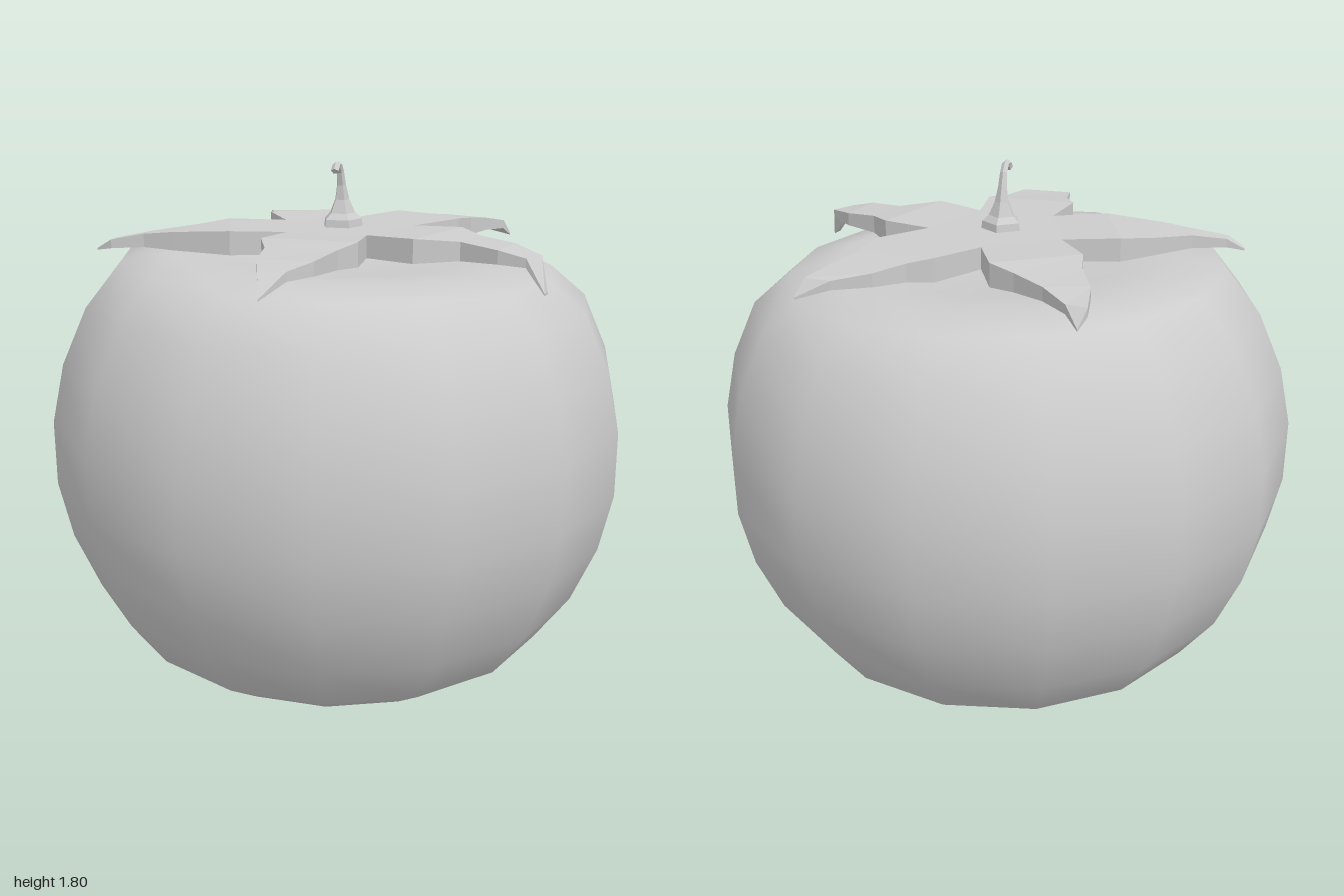
import * as THREE from 'three';
import { mergeVertices } from 'three/addons/utils/BufferGeometryUtils.js';

const grey = new THREE.MeshStandardMaterial({ color: 0xcccccc });
grey.name = 'grey';
const flatGrey = grey.clone();
flatGrey.flatShading = true;
flatGrey.side = THREE.DoubleSide;

function addMesh(parent, geometry, material, name) {
  const mesh = new THREE.Mesh(geometry, material);
  mesh.name = name;
  parent.add(mesh);
}

// Skin consecutive rings of equal point count, closing the last end with a fan.
function loft(rings) {
  const n = rings[0].length, index = [];
  for (let i = 0; i < rings.length - 1; i++) {
    for (let j = 0; j < n; j++) {
      const a = i * n + j, b = i * n + (j + 1) % n;
      index.push(a, a + n, b, b, a + n, b + n);
    }
  }
  const last = (rings.length - 1) * n;
  for (let j = 1; j < n - 1; j++) index.push(last, last + j + 1, last + j);
  const g = new THREE.BufferGeometry();
  g.setAttribute('position', new THREE.Float32BufferAttribute(rings.flat(2), 3));
  g.setIndex(index);
  g.computeVertexNormals();
  return g;
}

// Squashed fifteen-sided fruit, dimpled on top and sagging a little toward +x.
function bodyGeometry() {
  const heights = [0.03, 0.015, 0.005, 0.05, 0.15, 0.32, 0.52, 0.72, 0.94, 1.14, 1.33, 1.46, 1.49, 1.475, 1.45, 1.44];
  const profile = heights.map((y, k) =>
    new THREE.Vector2(Math.abs(Math.sin(k * Math.PI / 15)) * 1.0055, y));
  profile[0].x = profile[15].x = 0;
  let g = new THREE.LatheGeometry(profile, 15, Math.PI);
  const p = g.attributes.position;
  for (let i = 0; i < p.count; i++) {
    const lift = THREE.MathUtils.smoothstep(p.getY(i), 1.33, 1.46);
    p.setY(i, p.getY(i) - 0.035 * p.getX(i) * lift);
  }
  g.translate(0, 0, 0.01);
  g.deleteAttribute('uv');
  g.deleteAttribute('normal');
  g = mergeVertices(g, 1e-4);
  g.computeVertexNormals();
  return g;
}

// Sepal outlines: two edges in x, z from the notch to the tip, and the tip height.
const sepals = [
  { tip: 1.47,
    a: [[0.16, 0.23], [0.18, 0.41], [0.14, 0.5], [0.11, 0.65], [0.05, 0.73], [0, 0.84]],
    b: [[-0.11, 0.23], [-0.14, 0.41], [-0.09, 0.52], [-0.07, 0.65], [-0.04, 0.73], [0, 0.84]] },
  { tip: 1.43,
    a: [[0.26, -0.04], [0.43, -0.01], [0.51, 0.08], [0.63, 0.13], [0.73, 0.23], [0.76, 0.29]],
    b: [[0.16, 0.23], [0.33, 0.3], [0.47, 0.235], [0.6, 0.295], [0.69, 0.305], [0.755, 0.33]] },
  { tip: 1.48,
    a: [[0.02, -0.21], [0.12, -0.38], [0.2, -0.42], [0.28, -0.51], [0.4, -0.56], [0.51, -0.595]],
    b: [[0.26, -0.04], [0.38, -0.22], [0.4, -0.35], [0.44, -0.45], [0.49, -0.55], [0.51, -0.595]] },
  { tip: 1.48,
    a: [[-0.21, -0.05], [-0.32, -0.21], [-0.34, -0.31], [-0.4, -0.45], [-0.42, -0.58], [-0.4, -0.625]],
    b: [[0.02, -0.21], [-0.06, -0.38], [-0.15, -0.42], [-0.26, -0.49], [-0.35, -0.57], [-0.4, -0.625]] },
  { tip: 1.5,
    a: [[-0.11, 0.23], [-0.29, 0.3], [-0.5, 0.285], [-0.61, 0.275], [-0.72, 0.3], [-0.78, 0.285]],
    b: [[-0.21, -0.05], [-0.4, 0], [-0.49, 0.08], [-0.61, 0.19], [-0.72, 0.25], [-0.78, 0.265]] },
];

// Each sepal is a thick blade that thins and droops toward its tip.
function sepalGeometry({ a, b, tip }) {
  const top = [1.58, 1.585, 1.572, 1.56, 1.54, tip + 0.006];
  const bottom = [1.505, 1.505, 1.51, 1.515, 1.51, tip];
  const rings = a.map(([ax, az], i) => {
    const [bx, bz] = b[i];
    return [[ax, top[i], az], [ax, bottom[i], az], [bx, bottom[i], bz], [bx, top[i], bz]];
  });
  return loft(rings);
}

// Pentagonal plate joining the sepals.
function crownGeometry() {
  const notches = sepals.map(s => s.a[0]);
  return loft([
    notches.map(([x, z]) => [x, 1.505, z]),
    notches.map(([x, z]) => [x, 1.58, z]),
  ]);
}

// Five-sided stalk, flared at its foot and hooked forward at the end.
function stemGeometry() {
  // height, z, radius, forward tilt
  const stations = [
    [1.56, 0.035, 0.075, 0], [1.605, 0.035, 0.068, 0], [1.625, 0.035, 0.046, 0],
    [1.67, 0.035, 0.026, 0], [1.72, 0.042, 0.016, 0.2], [1.765, 0.055, 0.013, 0.4],
    [1.788, 0.075, 0.013, 1.1], [1.787, 0.1, 0.014, 1.8], [1.77, 0.115, 0.014, 2.4],
  ];
  const rings = stations.map(([y, z, r, tilt]) => Array.from({ length: 5 }, (_, j) => {
    const t = -j * Math.PI * 2 / 5;
    const forward = -r * Math.cos(t);
    return [0.02 + r * Math.sin(t), y - forward * Math.sin(tilt), z + forward * Math.cos(tilt)];
  }));
  return loft(rings);
}

export function createModel() {
  const model = new THREE.Group();
  model.name = 'fruit';
  addMesh(model, bodyGeometry(), grey, 'body');

  const calyx = new THREE.Group();
  calyx.name = 'calyx';
  addMesh(calyx, crownGeometry(), flatGrey, 'crown');
  sepals.forEach((s, i) => addMesh(calyx, sepalGeometry(s), flatGrey, 'sepal' + (i + 1)));
  addMesh(calyx, stemGeometry(), flatGrey, 'stem');
  model.add(calyx);
  return model;
}
